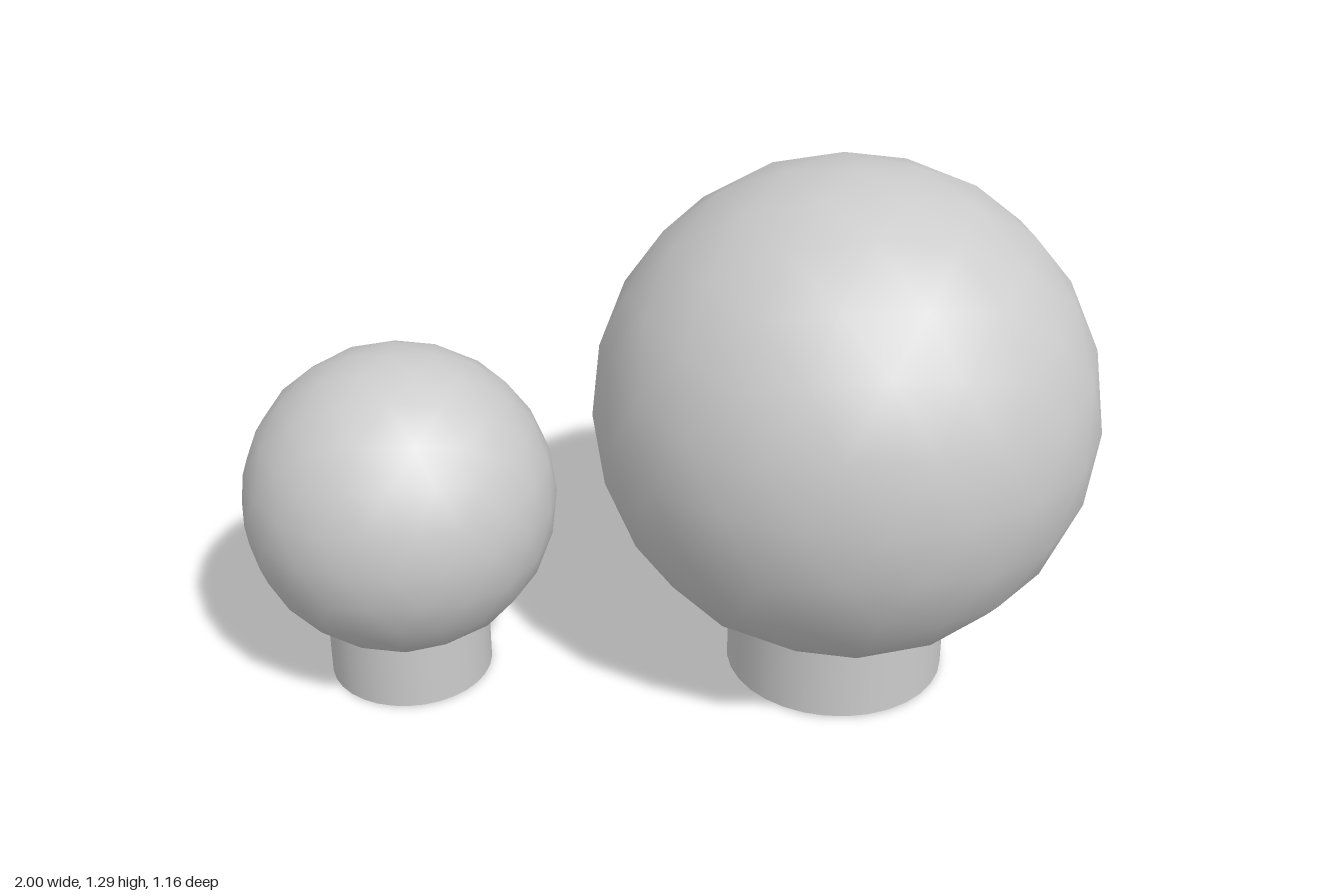
import * as THREE from 'three';

const material = new THREE.MeshStandardMaterial({ color: 0xcccccc });
const thin = new THREE.MeshStandardMaterial({ color: 0xcccccc, side: THREE.DoubleSide });

// Unit geodesic ball with a vertex at the top, smooth normals
function geodesicBall() {
  const base = new THREE.IcosahedronGeometry(1, 1);
  base.rotateZ(-Math.atan(2 / (1 + Math.sqrt(5))));
  base.rotateY(THREE.MathUtils.degToRad(30.5));
  const src = base.getAttribute('position');
  const points = [];
  const mid = (p, q) => p.clone().add(q).normalize();
  for (let i = 0; i < src.count; i += 3) {
    const [a, b, c] = [0, 1, 2].map((k) => new THREE.Vector3().fromBufferAttribute(src, i + k));
    const ab = mid(a, b), bc = mid(b, c), ca = mid(c, a);
    points.push(a, ab, ca, ab, b, bc, ca, bc, c, ab, bc, ca);
  }
  const geometry = new THREE.BufferGeometry().setFromPoints(points);
  geometry.setAttribute('normal', geometry.getAttribute('position').clone());
  return geometry;
}

// A globe resting on an open ring-shaped collar
function globeOnCollar(name, { x, z, y, radius, collarRadius, collarBottom, collarTop }) {
  const group = new THREE.Group();
  group.name = name;
  group.position.set(x, 0, z);

  const globe = new THREE.Mesh(geodesicBall(), material);
  globe.name = 'globe';
  globe.position.y = y;
  globe.scale.set(radius, radius, radius * 0.985);

  const height = collarTop - collarBottom;
  const collar = new THREE.Mesh(
    new THREE.CylinderGeometry(collarRadius, collarRadius, height, 32, 1, true), thin);
  collar.name = 'collar';
  collar.position.y = collarBottom + height / 2;

  group.add(globe, collar);
  return group;
}

export function createModel() {
  const model = new THREE.Group();
  model.name = 'globePair';
  model.add(
    globeOnCollar('largeGlobe', {
      x: 0.407, z: 0, y: 0.703, radius: 0.59,
      collarRadius: 0.266, collarBottom: 0.004, collarTop: 0.2,
    }),
    globeOnCollar('smallGlobe', {
      x: -0.63, z: 0.17, y: 0.472, radius: 0.373,
      collarRadius: 0.197, collarBottom: 0, collarTop: 0.18,
    }),
  );
  return model;
}
